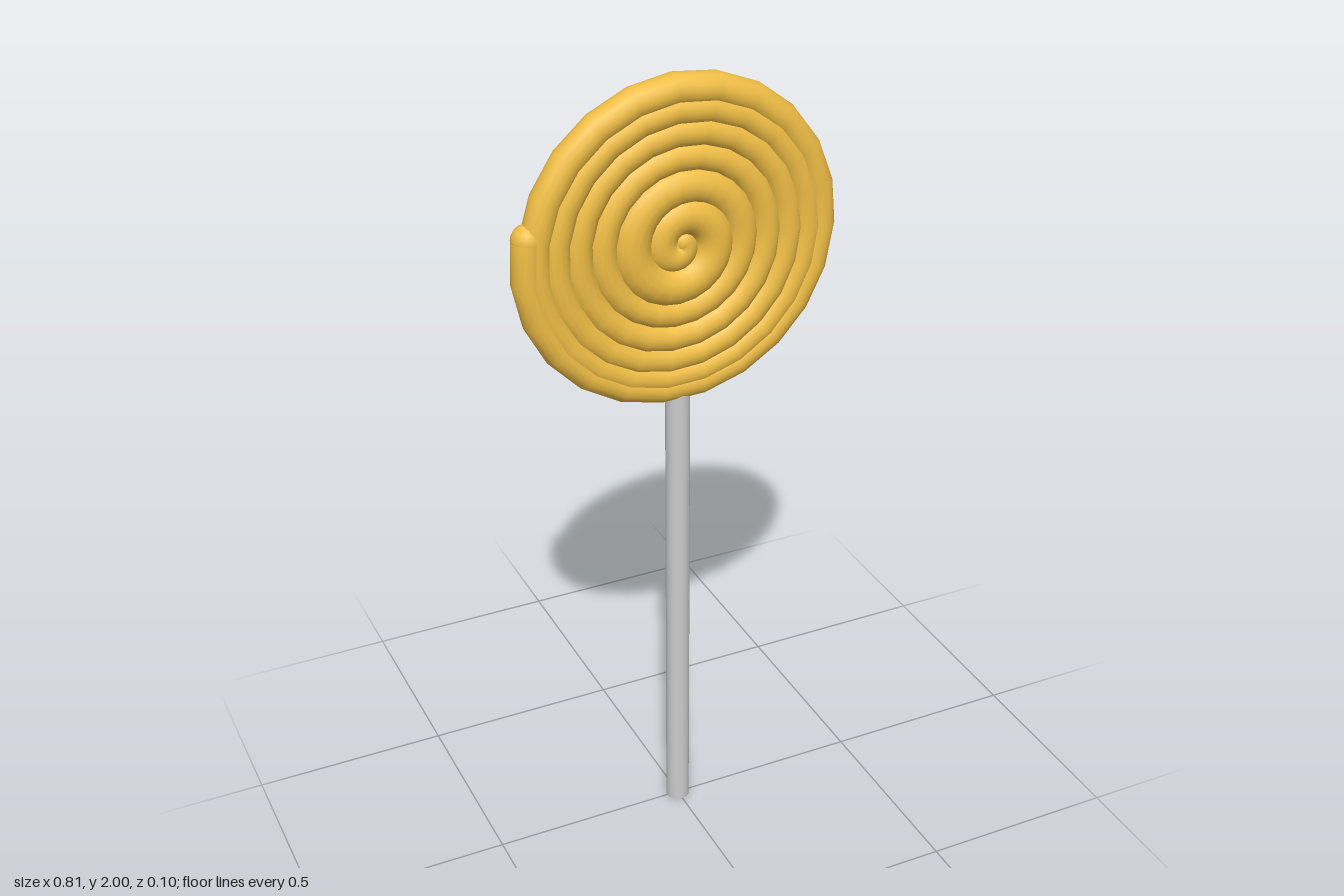
import * as THREE from 'three';

const CENTRE_Y = 1.6;
const START = 0.25, END = 6.78; // in turns, counted from straight up

// Linear lookup in a short list of [turn, value] pairs
function lookup(table, u) {
  let i = 1;
  while (i < table.length - 1 && u > table[i][0]) i++;
  const [a, va] = table[i - 1], [b, vb] = table[i];
  return va + (vb - va) * (u - a) / (b - a);
}

const COIL = [[0.25, 0.012], [1, 0.066], [2, 0.138], [3, 0.206], [4, 0.264], [5, 0.316], [6, 0.362], [6.78, 0.371]];
const THICK = [[0.25, 0.03], [0.7, 0.045], [1.2, 0.051], [1.8, 0.052], [2.1, 0.045], [2.6, 0.038], [6.78, 0.037]];

// Flat spiral running clockwise outwards, seen from the front
class Spiral extends THREE.Curve {
  turn(t) { return START + (END - START) * t; }
  getPoint(t, target = new THREE.Vector3()) {
    const u = this.turn(t), r = lookup(COIL, u), a = u * Math.PI * 2;
    return target.set(r * Math.sin(a), r * Math.cos(a), 0);
  }
  getPointAt(t, target) { return this.getPoint(t, target); }
  getTangentAt(t, target) { return this.getTangent(t, target); }
}

export function createModel() {
  const model = new THREE.Group();
  const candy = new THREE.MeshStandardMaterial({ color: 0xf0be46 });
  const grey = new THREE.MeshStandardMaterial({ color: 0xcccccc });
  const add = (parent, name, geometry, material, x, y) => {
    const mesh = new THREE.Mesh(geometry, material);
    mesh.name = name;
    mesh.position.set(x, y, 0);
    parent.add(mesh);
  };

  // Stick
  add(model, 'stick', new THREE.CylinderGeometry(0.03, 0.03, 1.23, 20), grey, 0, 0.615);

  // Candy coil: a tube of unit thickness scaled about its path
  const swirl = new THREE.Group();
  swirl.name = 'candySwirl';
  swirl.position.y = CENTRE_Y;
  model.add(swirl);

  const path = new Spiral(), segments = 150, sides = 16;
  const coil = new THREE.TubeGeometry(path, segments, 1, sides, false);
  const pos = coil.attributes.position, p = new THREE.Vector3();
  for (let i = 0; i < pos.count; i++) {
    const t = Math.floor(i / (sides + 1)) / segments;
    const c = path.getPoint(t);
    p.fromBufferAttribute(pos, i).sub(c).multiplyScalar(lookup(THICK, path.turn(t))).add(c);
    pos.setXYZ(i, p.x, p.y, p.z);
  }
  add(swirl, 'coil', coil, candy, 0, 0);

  // Rounded ends of the coil
  for (const [name, t] of [['innerEnd', 0], ['outerEnd', 1]]) {
    const c = path.getPoint(t), r = lookup(THICK, path.turn(t));
    add(swirl, name, new THREE.SphereGeometry(r, 16, 10), candy, c.x, c.y);
  }
  return model;
}
